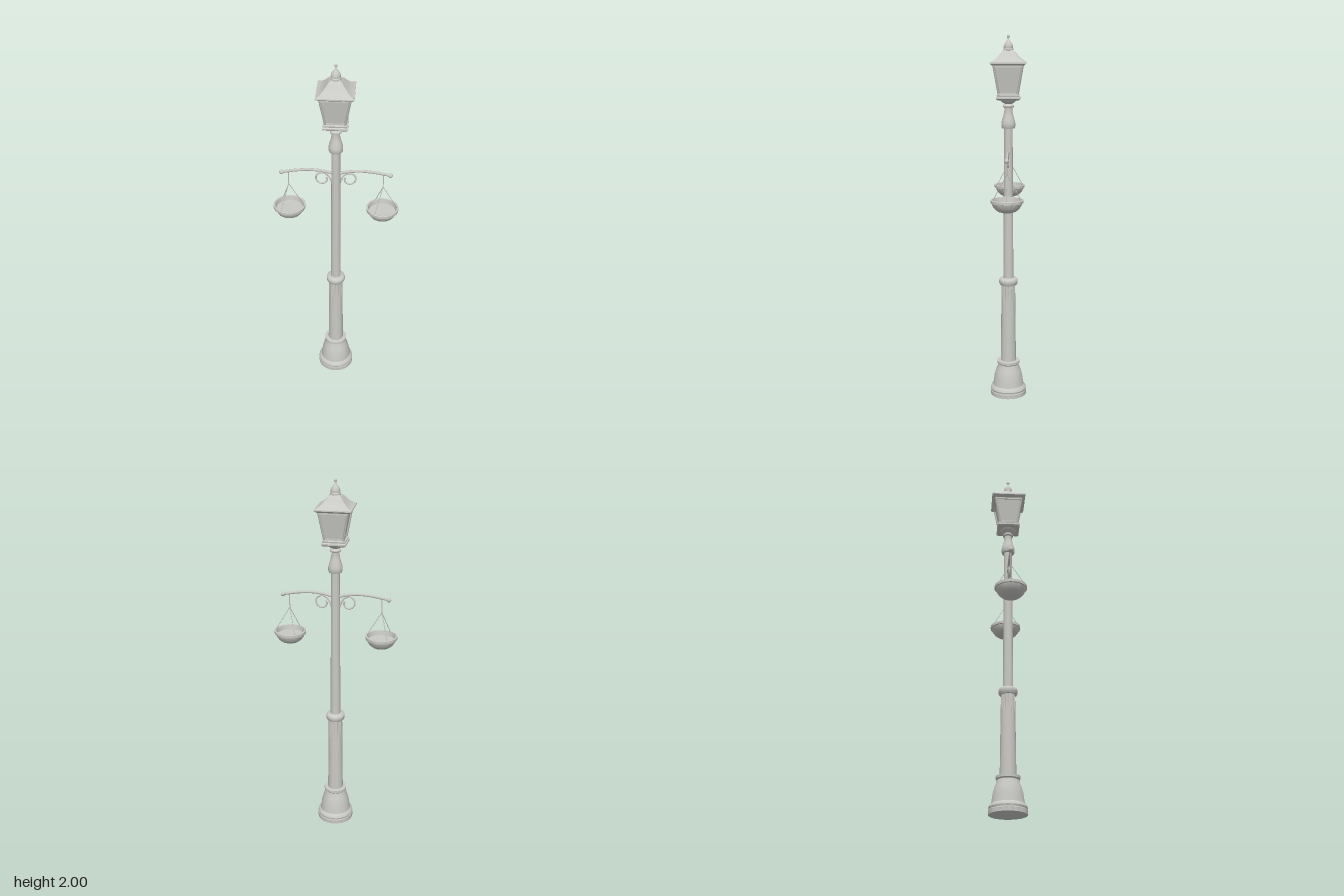
import * as THREE from 'three';
import { toCreasedNormals } from 'three/addons/utils/BufferGeometryUtils.js';

const metal = new THREE.MeshStandardMaterial({ color: 0xc8c8c4 });
metal.name = 'pale grey metal';

const V = (x, y, z = 0) => new THREE.Vector3(x, y, z);

function add(parent, name, geometry) {
  const mesh = new THREE.Mesh(geometry, metal);
  mesh.name = name;
  parent.add(mesh);
  return mesh;
}

// Turned part from [radius, y] pairs, listed bottom to top
function turned(profile, segments = 40, crease = 0.6) {
  const pts = profile.map(([r, y]) => new THREE.Vector2(r, y));
  return toCreasedNormals(new THREE.LatheGeometry(pts, segments), crease);
}

// Square part from [halfWidth, y] pairs, listed bottom to top
function squared(profile) {
  const pts = profile.map(([h, y]) => new THREE.Vector2(h * Math.SQRT2, y));
  return toCreasedNormals(new THREE.LatheGeometry(pts, 4, Math.PI / 4), 0.5);
}

function rod(a, b, radius, sides = 6) {
  return new THREE.TubeGeometry(new THREE.LineCurve3(a, b), 1, radius, sides);
}

function bent(points, radius, segments) {
  return new THREE.TubeGeometry(new THREE.CatmullRomCurve3(points), segments, radius, 8);
}

// Tapering lower column whose grooves fade out downward
function flutedColumn() {
  const y0 = 0.19, y1 = 0.65;
  const g = new THREE.CylinderGeometry(0.038, 0.043, y1 - y0, 120, 12, true);
  g.translate(0, (y0 + y1) / 2, 0);
  const p = g.attributes.position;
  for (let i = 0; i < p.count; i++) {
    const x = p.getX(i), z = p.getZ(i);
    const fade = THREE.MathUtils.clamp((p.getY(i) - 0.48) / 0.12, 0, 1);
    const groove = Math.max(0, Math.cos(12 * Math.atan2(z, x))) ** 3;
    const k = 1 - 0.12 * fade * groove;
    p.setX(i, x * k);
    p.setZ(i, z * k);
  }
  g.computeVertexNormals();
  return toCreasedNormals(g, 0.6);
}

function createPost() {
  const post = new THREE.Group();
  post.name = 'post';
  add(post, 'base', turned([
    [0, 0], [0.1, 0], [0.1, 0.022], [0.097, 0.026], [0.1, 0.036], [0.096, 0.048], [0.086, 0.056],
    [0.083, 0.075], [0.078, 0.11], [0.07, 0.14], [0.06, 0.165], [0.057, 0.178],
    [0.063, 0.184], [0.063, 0.198], [0.042, 0.2],
  ]));
  add(post, 'lowerColumn', flutedColumn());
  add(post, 'collar', turned([
    [0.036, 0.64], [0.046, 0.641], [0.051, 0.65], [0.052, 0.664], [0.049, 0.674], [0.043, 0.679], [0.026, 0.681],
  ]));
  add(post, 'shaft', turned([[0.028, 0.67], [0.023, 1.515]], 32));
  add(post, 'neck', turned([
    [0.02, 1.508], [0.034, 1.509], [0.038, 1.52], [0.038, 1.535], [0.034, 1.553], [0.026, 1.58],
    [0.022, 1.6], [0.022, 1.618], [0.029, 1.622], [0.03, 1.63], [0.024, 1.635], [0.02, 1.64],
    [0.03, 1.645], [0.042, 1.655], [0.048, 1.668], [0, 1.669],
  ]));
  return post;
}

function createLantern() {
  const lantern = new THREE.Group();
  lantern.name = 'lantern';
  add(lantern, 'lanternFloor', squared([
    [0, 1.66], [0.056, 1.661], [0.064, 1.668], [0.064, 1.676], [0.058, 1.68], [0.06, 1.688], [0.052, 1.692], [0, 1.692],
  ]));
  add(lantern, 'panes', squared([[0.047, 1.69], [0.073, 1.845]]));
  // Corner bars and rails around the four panes
  for (let i = 0; i < 4; i++) {
    const side = new THREE.Group();
    side.name = 'frameSide';
    side.rotation.y = i * Math.PI / 2;
    add(side, 'cornerBar', rod(V(0.049, 1.688, 0.049), V(0.076, 1.845, 0.076), 0.006, 4));
    add(side, 'lowerRail', new THREE.BoxGeometry(0.1, 0.01, 0.006)).position.set(0, 1.696, 0.048);
    add(side, 'upperRail', new THREE.BoxGeometry(0.15, 0.012, 0.008)).position.set(0, 1.838, 0.073);
    lantern.add(side);
  }
  add(lantern, 'roof', squared([
    [0, 1.842], [0.082, 1.842], [0.096, 1.852], [0.096, 1.858], [0.084, 1.863], [0.07, 1.873],
    [0.056, 1.887], [0.044, 1.901], [0.034, 1.914], [0.02, 1.922], [0, 1.922],
  ]));
  add(lantern, 'finial', turned([
    [0.02, 1.915], [0.027, 1.921], [0.027, 1.928], [0.024, 1.932], [0.025, 1.94], [0.021, 1.953],
    [0.013, 1.964], [0.007, 1.971], [0.004, 1.976], [0.004, 1.988],
  ], 24));
  add(lantern, 'finialBall', new THREE.SphereGeometry(0.008, 16, 12)).position.y = 1.992;
  return lantern;
}

// Bracket with its scroll, reaching toward side (+1 or -1)
function createBracket(side) {
  const bracket = new THREE.Group();
  bracket.name = side > 0 ? 'leftBracket' : 'rightBracket';
  const path = (pts) => pts.map(([x, y]) => V(side * x, y));
  add(bracket, 'arm', bent(path([[0.01, 1.37], [0.06, 1.383], [0.13, 1.39], [0.2, 1.385], [0.285, 1.37]]), 0.0075, 32));
  add(bracket, 'armTip', new THREE.SphereGeometry(0.012, 20, 14)).position.set(side * 0.286, 1.369, 0);
  add(bracket, 'scroll', bent(path([
    [0.018, 1.3], [0.03, 1.338], [0.05, 1.366], [0.078, 1.374], [0.101, 1.358], [0.103, 1.33],
    [0.085, 1.31], [0.06, 1.31], [0.046, 1.328], [0.05, 1.348],
  ]), 0.0045, 60));
  return bracket;
}

// Bowl hung on three wires
function createHangingBowl(side) {
  const bowl = new THREE.Group();
  bowl.name = side > 0 ? 'leftHangingBowl' : 'rightHangingBowl';
  bowl.position.x = side * 0.25;
  add(bowl, 'hanger', rod(V(0, 1.296), V(0, 1.378), 0.0028));
  add(bowl, 'hangerKnot', new THREE.SphereGeometry(0.0045, 10, 8)).position.y = 1.296;
  for (let i = 0; i < 3; i++) {
    const a = i * Math.PI * 2 / 3;
    add(bowl, 'wire', rod(V(0, 1.296), V(0.081 * Math.cos(a), 1.16, 0.081 * Math.sin(a)), 0.002));
  }
  add(bowl, 'bowl', turned([
    [0, 1.096], [0.03, 1.097], [0.048, 1.103], [0.063, 1.115], [0.074, 1.13], [0.08, 1.146], [0.086, 1.148],
    [0.086, 1.163], [0.083, 1.165], [0.077, 1.164], [0.072, 1.138], [0, 1.136],
  ]));
  return bowl;
}

export function createModel() {
  const model = new THREE.Group();
  model.name = 'streetLamp';
  model.add(createPost(), createLantern());
  for (const side of [-1, 1]) model.add(createBracket(side), createHangingBowl(side));
  return model;
}
